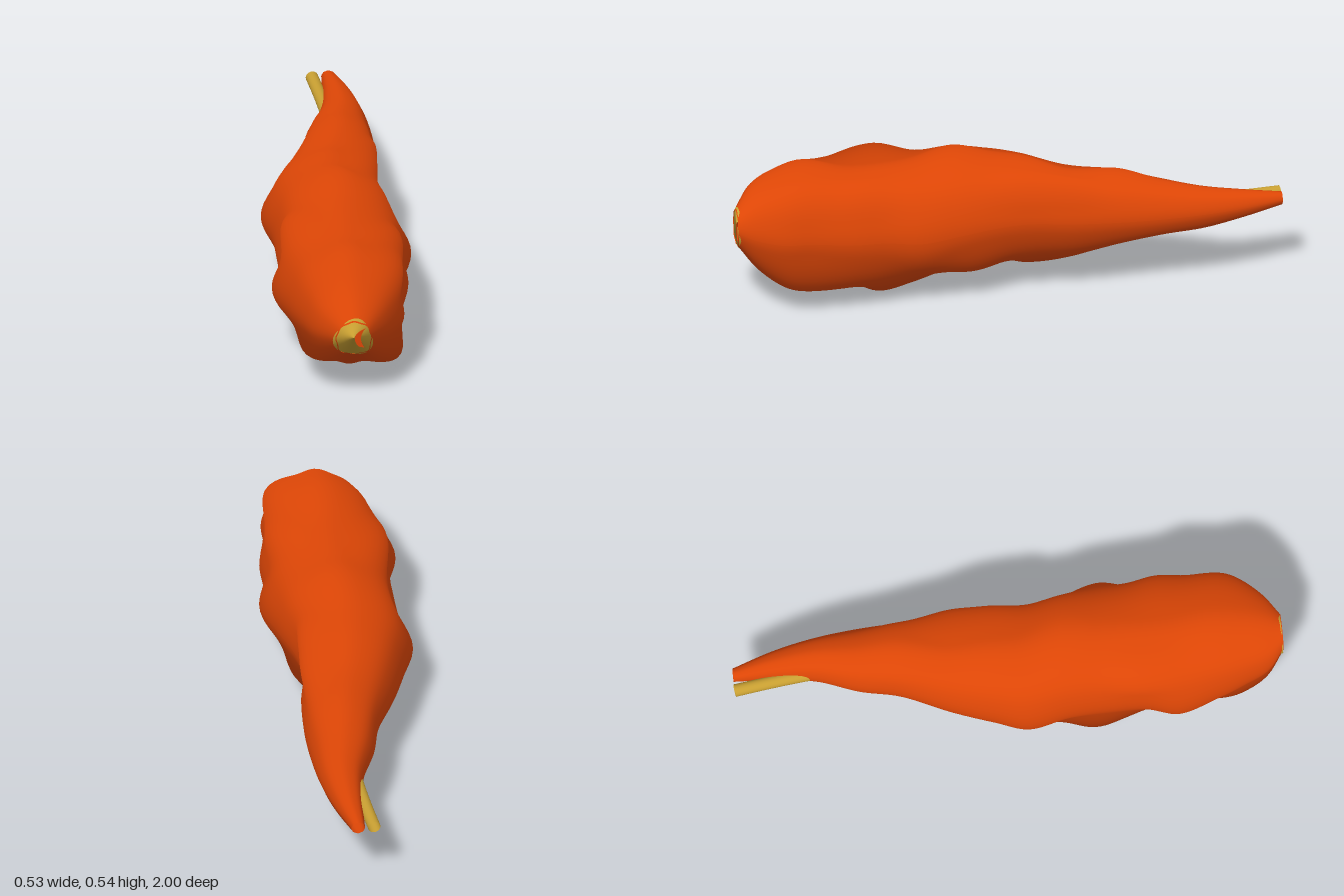
import * as THREE from 'three';

const CY = 0.285;
// z, axis x, left-most x, right-most x, lowest y, highest y
const rows = [
  [1, 0.01, -0.055, 0.072, 0.22, 0.35], [0.94, 0, -0.13, 0.145, 0.15, 0.445],
  [0.85, 0, -0.175, 0.2, 0.11, 0.5], [0.75, 0, -0.215, 0.205, 0.075, 0.526],
  [0.6, 0, -0.262, 0.235, 0.05, 0.49], [0.48, 0, -0.23, 0.235, 0.001, 0.49],
  [0.35, 0, -0.228, 0.262, 0.03, 0.505], [0.2, 0, -0.235, 0.215, 0.08, 0.545],
  [0.05, -0.02, -0.264, 0.165, 0.09, 0.5], [-0.07, -0.01, -0.225, 0.15, 0.07, 0.48],
  [-0.22, 0.01, -0.17, 0.175, 0.09, 0.43], [-0.4, 0.045, -0.09, 0.185, 0.15, 0.435],
  [-0.55, 0.06, -0.055, 0.18, 0.185, 0.39], [-0.7, 0.08, 0, 0.163, 0.2, 0.36],
  [-0.85, 0.075, 0.022, 0.13, 0.23, 0.335], [-1, 0.055, 0.03, 0.08, 0.26, 0.308],
];
// swellings and dents on the diagonals: quarter, z, height
const bumps = [
  [0, 0.78, 0.045], [0, 0.55, 0.055], [0, -0.02, 0.05], [0, -0.2, 0.055], [1, 0.47, 0.07],
  [2, 0.84, 0.035], [2, 0.6, -0.045], [2, 0.28, 0.06], [2, -0.15, -0.04],
  [3, 0.82, 0.055], [3, 0.66, 0.03], [3, 0.36, -0.03], [3, 0.13, 0.035],
];

// smooth interpolation of one column of the rows
function sample(z, col) {
  let i = 0;
  while (i < rows.length - 2 && z < rows[i + 1][0]) i++;
  const slope = k => {
    const a = rows[Math.max(k - 1, 0)], b = rows[Math.min(k + 1, rows.length - 1)];
    return (b[col] - a[col]) / (b[0] - a[0]);
  };
  const p = rows[i], q = rows[i + 1], d = q[0] - p[0], t = (z - p[0]) / d;
  const t2 = t * t, t3 = t2 * t;
  return (2 * t3 - 3 * t2 + 1) * p[col] + (t3 - 2 * t2 + t) * d * slope(i)
    + (3 * t2 - 2 * t3) * q[col] + (t3 - t2) * d * slope(i + 1);
}

// quarter ellipses with swellings on the diagonals and shallow valleys between
function skinPoint(a, z) {
  const cx = sample(z, 1), c = Math.cos(a), s = Math.sin(a);
  const rx = c > 0 ? sample(z, 3) - cx : cx - sample(z, 2);
  const ry = s > 0 ? sample(z, 5) - CY : CY - sample(z, 4);
  const quarter = Math.min(3, Math.floor(a / (Math.PI / 2)));
  let r = (rx * c * c + ry * s * s) * (1 - 0.025 * (1 - Math.cos(8 * a)));
  for (const [q, bz, h] of bumps) {
    if (q === quarter) r += h * Math.sin(2 * a) ** 4 * Math.exp(-(((z - bz) / 0.13) ** 2));
  }
  return [cx + r * c, CY + r * s, z];
}

// skin a grid of rings, from front to back or from the centre outwards
function loft(point, steps, sides) {
  const pos = [], idx = [];
  steps.forEach((t, i) => {
    for (let j = 0; j <= sides; j++) {
      pos.push(...point(j === sides ? 0 : j / sides * Math.PI * 2, t));
      if (i < steps.length - 1 && j < sides) {
        const a = i * (sides + 1) + j, c = a + sides + 1;
        idx.push(a, c, a + 1, a + 1, c, c + 1);
      }
    }
  });
  const g = new THREE.BufferGeometry();
  g.setAttribute('position', new THREE.Float32BufferAttribute(pos, 3));
  g.setIndex(idx);
  g.computeVertexNormals();
  // soften the shading towards the round cross-section
  const n = g.attributes.normal, v = new THREE.Vector3();
  for (let k = 0; k < n.count; k++) {
    const a = (k % (sides + 1)) / sides * Math.PI * 2;
    v.fromBufferAttribute(n, k);
    v.set(v.x * 0.25 + Math.cos(a) * 0.75, v.y * 0.25 + Math.sin(a) * 0.75, v.z * 0.18).normalize();
    n.setXYZ(k, v.x, v.y, v.z);
  }
  return g;
}

export function createModel() {
  const model = new THREE.Group();
  const orange = new THREE.MeshStandardMaterial({ color: 0xdd4606, side: THREE.DoubleSide });
  orange.name = 'orange skin';
  const ochre = new THREE.MeshStandardMaterial({ color: 0xc9a032, side: THREE.DoubleSide });
  ochre.name = 'ochre core';
  const add = (name, geometry, material) => {
    const m = new THREE.Mesh(geometry, material);
    m.name = name;
    model.add(m);
    return m;
  };

  // lumpy tapering root, open at both ends
  const zs = Array.from({ length: 121 }, (_, i) => 1 - i / 60);
  add('rootSkin', loft(skinPoint, zs, 80), orange);

  // inner core, breaking out of the skin beside the tip
  const path = new THREE.CatmullRomCurve3([
    [0.01, 0.285, 0.97], [0.01, 0.285, 0.4], [0.05, 0.285, -0.4],
    [0.026, 0.284, -0.75], [0.012, 0.283, -0.88], [-0.004, 0.283, -1],
  ].map(p => new THREE.Vector3(...p)));
  add('core', new THREE.TubeGeometry(path, 60, 0.023, 20, false), ochre);

  // three-lobed core end closing the front, its lobes just breaking the skin
  const coreEnd = (a, t) => {
    const r = (0.071 + 0.007 * Math.cos(3 * a - 4.19)) * Math.min(t, 1);
    return [0.008 + r * Math.cos(a), CY + r * Math.sin(a), t > 1 ? 0.97 : 0.997];
  };
  add('coreEnd', loft(coreEnd, [0, 0.5, 1, 2], 48), ochre);

  // sliver of skin curling over the core end
  const curl = new THREE.Shape();
  curl.moveTo(0.05, 0.323);
  curl.quadraticCurveTo(-0.012, 0.295, 0.026, 0.25);
  curl.lineTo(0.047, 0.245);
  curl.quadraticCurveTo(0.02, 0.285, 0.05, 0.323);
  add('skinCurl', new THREE.ExtrudeGeometry(curl, { depth: 0.005, bevelEnabled: false, curveSegments: 8 }), orange)
    .position.z = 0.995;
  return model;
}
